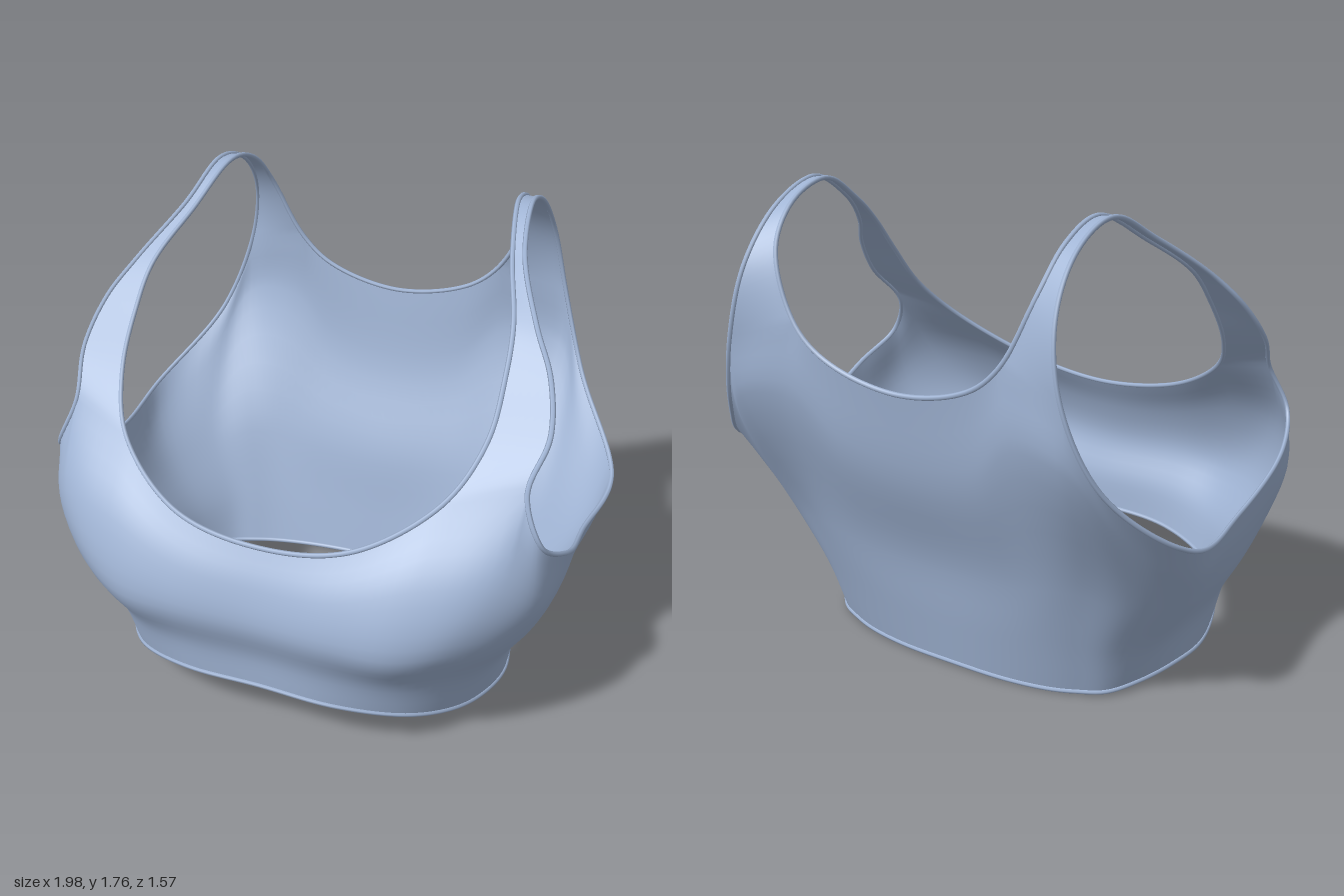
import * as THREE from 'three';
import { mergeGeometries, mergeVertices } from 'three/addons/utils/BufferGeometryUtils.js';

const V = (p) => new THREE.Vector3(...p);
const flipX = (p) => new THREE.Vector3(-p.x, p.y, p.z);
const range = (a, b, n) => Array.from({ length: n + 1 }, (_, i) => a + (b - a) * i / n);

// Horizontal rails, front centre to back centre on the left half, 13 stations each
const HEM = [[0, .218, .705], [.28, .205, .695], [.5, .165, .61], [.62, .12, .49], [.7, .08, .34],
  [.75, .055, .13], [.725, .045, -.05], [.67, .035, -.21], [.595, .02, -.315], [.5, .015, -.365],
  [.4, .012, -.4], [.23, .012, -.43], [0, .015, -.44]];
const BUST = [[0, .52, .765], [.3, .53, .78], [.52, .53, .76], [.71, .55, .665], [.84, .52, .51],
  [.885, .43, .22], [.87, .4, -.05], [.845, .4, -.27], [.735, .46, -.43], [.61, .54, -.515],
  [.47, .54, -.55], [.28, .5, -.55], [0, .48, -.54]];
const CHEST = [[0, .67, .73], [.3, .7, .735], [.58, .79, .675], [.81, .8, .595], [.915, .7, .495],
  [.945, .63, .27], [.93, .55, -.04], [.935, .57, -.33], [.785, .77, -.585], [.675, 1.02, -.75],
  [.46, 1.05, -.735], [.28, .88, -.69], [0, .82, -.67]];

// Neckline: front neck (0-2), inner strap edge (2-10), back neck (10-12)
const NECK = [[0, .8, .66], [.33, .855, .635], [.59, 1.02, .495], [.685, 1.19, .33], [.695, 1.37, .18],
  [.68, 1.5, .06], [.61, 1.64, -.15], [.56, 1.755, -.38], [.55, 1.7, -.57], [.525, 1.56, -.69],
  [.42, 1.33, -.735], [.29, 1.22, -.735], [0, 1.155, -.73]];

// Left armhole: underarm front to back (0-6), outer strap edge back to front (7-13)
const ARM = [[.845, 1.08, .415], [.91, .92, .46], [.965, .81, .31], [.955, .685, -.03],
  [.975, .705, -.4], [.785, .95, -.685], [.675, 1.25, -.78], [.625, 1.5, -.745], [.605, 1.68, -.6],
  [.61, 1.755, -.38], [.65, 1.65, -.16], [.755, 1.5, .05], [.835, 1.38, .16], [.875, 1.23, .285]];

// Closed smooth loop, read by point number
function loop(pts) {
  const c = new THREE.CatmullRomCurve3(pts, true), n = pts.length;
  return (k) => c.getPoint((((k % n) + n) % n) / n);
}
// Close a half rail by mirroring, giving stations 0..24
function rail(half) {
  const left = half.map(V);
  return loop([...left, ...left.slice(1, -1).reverse().map(flipX)]);
}
const hem = rail(HEM), bust = rail(BUST), chest = rail(CHEST), neck = rail(NECK);
const arm = loop(ARM.map(V));

// Upper edge of the body, with straight strap bases between neckline and armhole
function top(k) {
  if (k > 12) return flipX(top(24 - k));
  if (k <= 2 || k >= 10) return neck(k);
  if (k < 3) return neck(2).lerp(arm(0), k - 2);
  if (k <= 9) return arm(k - 3);
  return arm(6).lerp(neck(10), k - 9);
}

// Upright section of the body at a station, drawn in under the bust and at the sides
function section(k) {
  const a = hem(k), b = bust(k);
  const under = a.clone().lerp(b, .45);
  under.x *= .965;
  under.z -= .02 * Math.max(0, under.z);
  return new THREE.CatmullRomCurve3([a, under, b, chest(k), top(k)]);
}

// Left strap, spanning neckline (s = 0) to armhole (s = 1), front (t = 0) to back (t = 1)
const strap = (s, t) => neck(2 + 8 * t).lerp(arm(14 - 8 * t), s);

// Grid surface from point(i, j)
function sheet(nu, nv, point, flip = false) {
  const pos = [], idx = [];
  for (let i = 0; i <= nu; i++) for (let j = 0; j <= nv; j++) pos.push(...point(i, j).toArray());
  for (let i = 0; i < nu; i++) for (let j = 0; j < nv; j++) {
    const a = i * (nv + 1) + j, b = a + nv + 1;
    if (flip) idx.push(a, b + 1, b, a, a + 1, b + 1);
    else idx.push(a, b, b + 1, a, b + 1, a + 1);
  }
  const g = new THREE.BufferGeometry();
  g.setAttribute('position', new THREE.Float32BufferAttribute(pos, 3));
  g.setIndex(idx);
  return g;
}

// The garment hangs slightly to its right, fading out at the widest points
function lean(geometry) {
  const p = geometry.attributes.position;
  for (let i = 0; i < p.count; i++) {
    const x = p.getX(i);
    p.setX(i, x - .028 * (1 - Math.min(1, x ** 4)));
  }
  geometry.computeVertexNormals();
  return geometry;
}

export function createModel() {
  const group = new THREE.Group();
  const fabric = new THREE.MeshStandardMaterial({ color: 0xa0b4d4, side: THREE.DoubleSide });
  fabric.name = 'soft blue fabric';
  const add = (geometry, name) => {
    const m = new THREE.Mesh(lean(geometry), fabric);
    m.name = name;
    group.add(m);
  };

  // Body and both straps, welded into one smooth shell
  const N = 6;
  const columns = range(0, 24, 24 * N).map(section);
  const body = sheet(24 * N, 20, (i, j) => columns[i].getPoint(j / 20));
  const leftStrap = sheet(N, 60, (i, j) => strap(i / N, j / 60));
  const rightStrap = sheet(N, 60, (i, j) => flipX(strap(i / N, j / 60)), true);
  add(mergeVertices(mergeGeometries([body, leftStrap, rightStrap]), 1e-4), 'bodiceAndStraps');

  // Narrow rolled bindings along every open edge
  const binding = (pts, name) => add(mergeVertices(new THREE.TubeGeometry(
    new THREE.CatmullRomCurve3(pts, true), 220, .009, 6, true).deleteAttribute('uv')), name);
  const armhole = range(0, 13.8, 69).map(arm);
  binding(range(0, 23.75, 95).map(hem), 'hemBinding');
  binding(range(0, 23.75, 95).map(neck), 'necklineBinding');
  binding(armhole, 'leftArmholeBinding');
  binding(armhole.map(flipX), 'rightArmholeBinding');

  return group;
}
